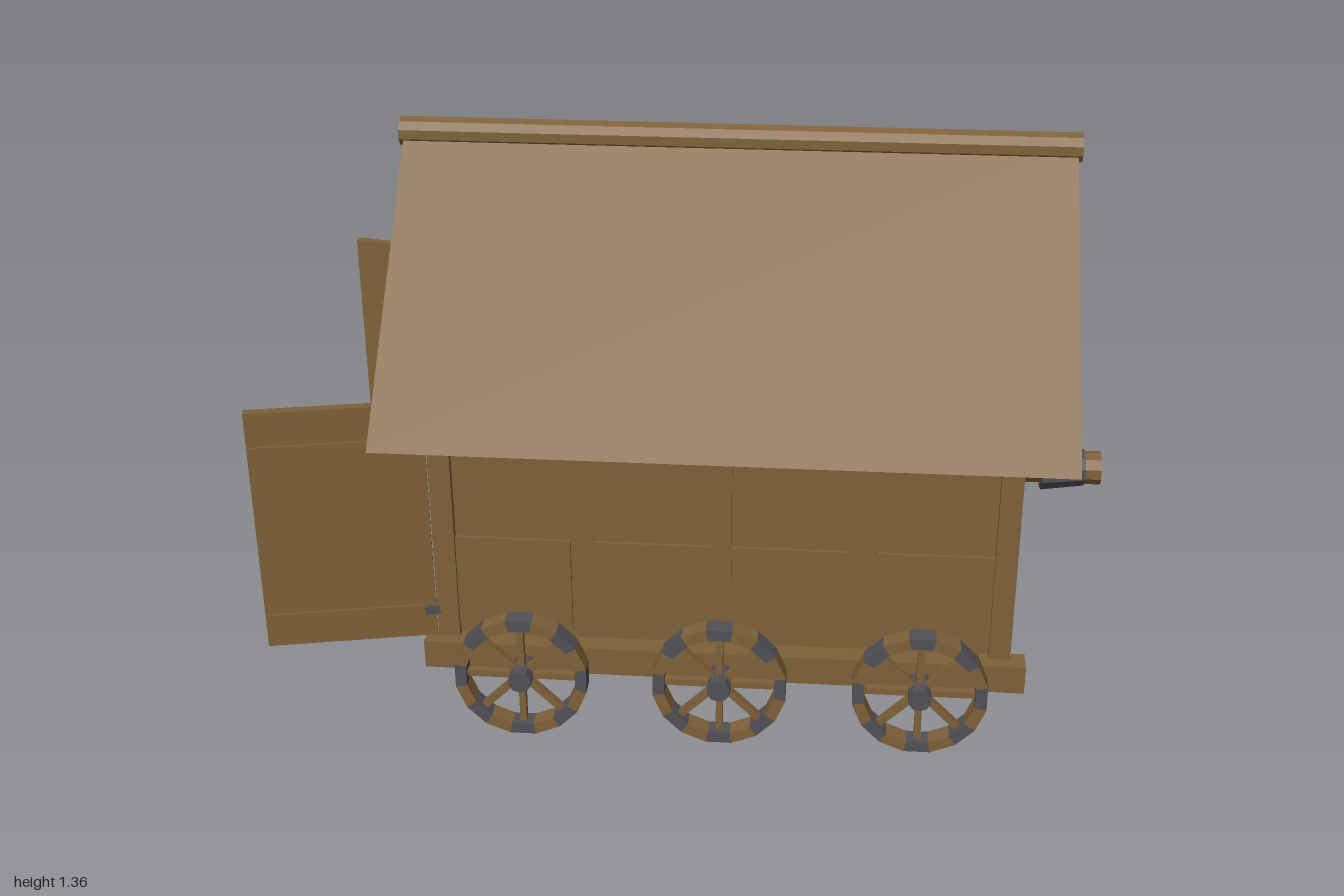
import * as THREE from 'three';

export function createModel() {
  const root = new THREE.Group();
  root.name = 'coveredRamWagon';
  const wood = new THREE.MeshStandardMaterial({ color: 0x7f6139, flatShading: true });
  wood.name = 'brown wood';
  const iron = new THREE.MeshStandardMaterial({ color: 0x505056, flatShading: true });
  iron.name = 'grey iron';
  const roofWood = new THREE.MeshStandardMaterial({ color: 0x7f6139, side: THREE.DoubleSide });
  roofWood.name = 'brown roof wood';

  const add = (name, geo, mat, x, y, z, parent = root) => {
    const m = new THREE.Mesh(geo, mat);
    m.name = name;
    m.position.set(x, y, z);
    parent.add(m);
    return m;
  };
  // box given by its limits on each axis
  const box = (name, x0, x1, y0, y1, z0, z1, mat = wood, parent = root) =>
    add(name, new THREE.BoxGeometry(x1 - x0, y1 - y0, Math.abs(z1 - z0)), mat,
      (x0 + x1) / 2, (y0 + y1) / 2, (z0 + z1) / 2, parent);
  // cylinder along x
  const logX = (name, x0, x1, r0, r1, y, sides, mat) => {
    const g = new THREE.CylinderGeometry(r1, r0, x1 - x0, sides);
    g.rotateY(Math.PI / sides);
    g.rotateZ(-Math.PI / 2);
    return add(name, g, mat, (x0 + x1) / 2, y, 0);
  };

  // floor
  box('floor', -0.6, 0.765, 0.17, 0.225, -0.442, 0.442);

  // spoked wheel with alternating wood and iron rim pieces
  const makeWheel = () => {
    const wheel = new THREE.Group();
    const n = 16, ro = 0.16, ri = 0.132, w = 0.044;
    for (let i = 0; i < n; i++) {
      const a = ((i - 0.5) / n) * Math.PI * 2, b = ((i + 0.5) / n) * Math.PI * 2;
      const s = new THREE.Shape([
        new THREE.Vector2(ri * Math.cos(a), ri * Math.sin(a)),
        new THREE.Vector2(ro * Math.cos(a), ro * Math.sin(a)),
        new THREE.Vector2(ro * Math.cos(b), ro * Math.sin(b)),
        new THREE.Vector2(ri * Math.cos(b), ri * Math.sin(b)),
      ]);
      const g = new THREE.ExtrudeGeometry(s, { depth: w, bevelEnabled: false });
      add('rimPiece', g, i % 2 ? wood : iron, 0, 0, -w / 2, wheel);
    }
    for (let i = 0; i < 8; i++) {
      const a = (i * Math.PI) / 4;
      const spoke = add('spoke', new THREE.BoxGeometry(0.115, 0.016, 0.018), wood,
        0.078 * Math.cos(a), 0.078 * Math.sin(a), 0, wheel);
      spoke.rotation.z = a;
    }
    const hub = new THREE.CylinderGeometry(0.028, 0.028, 0.08, 10);
    hub.rotateX(Math.PI / 2);
    add('hub', hub, iron, 0, 0, 0, wheel);
    return wheel;
  };

  for (const s of [1, -1]) {
    // base beam and wheels
    box('baseBeam', -0.63, 0.8, 0.14, 0.212, s * 0.442, s * 0.5);
    for (const x of [-0.388, 0.083, 0.553]) {
      const wheel = makeWheel();
      wheel.name = 'wheel';
      wheel.position.set(x, 0.16, s * 0.539);
      root.add(wheel);
    }

    // side wall: posts, thin panel, raised lower boards
    box('cornerPost', -0.6, -0.548, 0.212, 0.84, s * 0.414, s * 0.468);
    box('cornerPost', 0.714, 0.765, 0.212, 0.84, s * 0.414, s * 0.468);
    box('middlePost', 0.056, 0.104, 0.225, 0.84, s * 0.42, s * 0.464);
    box('sidePanel', -0.548, 0.714, 0.212, 0.84, s * 0.425, s * 0.45);
    for (const [x0, x1] of [[-0.548, -0.275], [-0.217, 0.056], [0.104, 0.382], [0.441, 0.714]])
      box('lowerBoard', x0, x1, 0.235, 0.48, s * 0.448, s * 0.459);

    // open rear door, swung outward on its hinge
    const door = new THREE.Group();
    door.name = 'rearDoor';
    door.position.set(-0.6, 0, s * 0.455);
    door.rotation.y = s * 0.21;
    box('doorPanel', -0.405, -0.005, 0.212, 0.83, -0.011, 0.011, wood, door);
    for (const y of [0.73, 0.285]) {
      box('doorBar', -0.4, -0.03, y - 0.015, y + 0.015, -0.016, 0.016, wood, door);
      box('hinge', -0.03, 0.004, y - 0.01, y + 0.01, -0.02, 0.02, iron, door);
    }
    root.add(door);

    // thin sloping roof panel
    const slope = new THREE.PlaneGeometry(1.585, 0.58 * Math.SQRT2);
    slope.rotateX(-s * Math.PI / 4);
    if (s < 0) slope.rotateY(Math.PI).rotateX(Math.PI / 2).rotateX(-Math.PI / 2);
    const roof = add('roofPanel', slope, roofWood, 0.0825, 1.05, s * 0.29);
    // panel built on the +z slope, turned about for the other side
    if (s < 0) {
      roof.geometry = new THREE.PlaneGeometry(1.585, 0.58 * Math.SQRT2)
        .rotateX(-Math.PI / 4).rotateY(Math.PI);
    }
  }

  // triangular gables
  const tri = new THREE.Shape([
    new THREE.Vector2(-0.445, 0.84), new THREE.Vector2(0.445, 0.84), new THREE.Vector2(0, 1.285),
  ]);
  for (const x of [-0.6, 0.714]) {
    const g = new THREE.ExtrudeGeometry(tri, { depth: 0.05, bevelEnabled: false });
    g.rotateY(Math.PI / 2);
    add('gable', g, wood, x, 0, 0);
  }

  // ridge log and hanging beam
  logX('ridgeLog', -0.72, 0.885, 0.036, 0.036, 1.324, 10, wood);
  box('hangingBeam', -0.63, 0.795, 0.97, 1.01, -0.02, 0.02);

  // swinging ram with an iron collar
  logX('ramLog', -0.5, 1.0, 0.042, 0.042, 0.485, 10, wood);
  logX('ramCollar', 0.853, 0.96, 0.06, 0.046, 0.485, 10, iron);

  // ropes from beam to ram
  for (const x of [-0.35, 0.5])
    for (const s of [1, -1]) {
      const path = new THREE.LineCurve3(
        new THREE.Vector3(x, 0.5, s * 0.004), new THREE.Vector3(x, 1.0, s * 0.036));
      add('rope', new THREE.TubeGeometry(path, 1, 0.008, 6), wood, 0, 0, 0);
    }

  return root;
}
